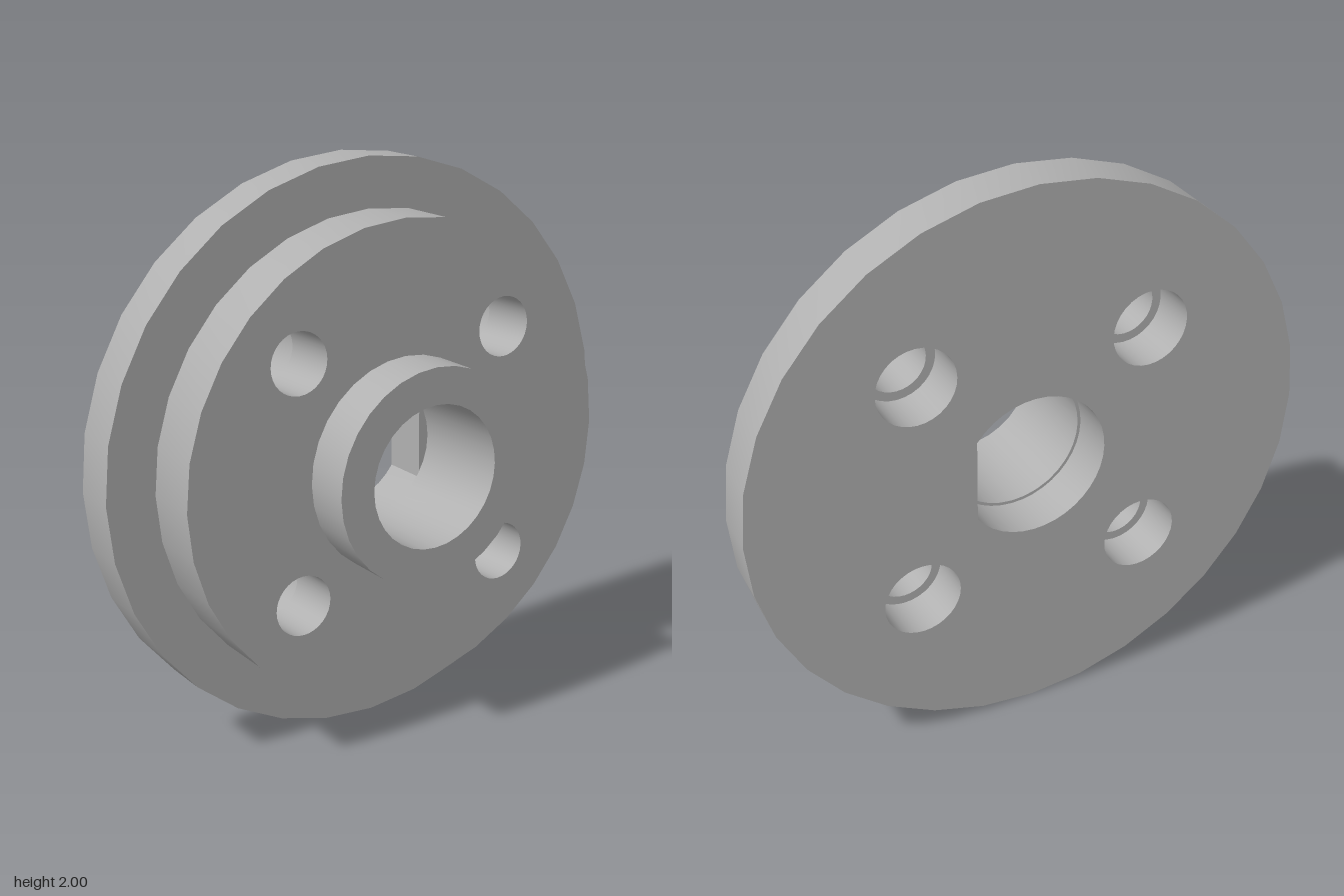
import * as THREE from 'three';
import { mergeGeometries, toCreasedNormals } from 'three/addons/utils/BufferGeometryUtils.js';

// z positions of the stepped faces
const BACK = -0.27, LEDGE = -0.105, STEP = 0.1, FRONT = 0.27;
// radii
const FLANGE = 1, BODY = 0.828, HUB = 0.373, BORE = 0.247, KEYED = 0.258, BOLT = 0.105, COUNTERBORE = 0.137;
const FLAT_X = 0.21, BOLT_POS = 0.412;

// points along an arc, 32 steps
function arc(r, from, to, cx = 0, cy = 0) {
  return Array.from({ length: 33 }, (_, i) => {
    const a = from + (to - from) * i / 32;
    return new THREE.Vector2(cx + r * Math.cos(a), cy + r * Math.sin(a));
  });
}
const circle = (r, cx = 0, cy = 0) => arc(r, 0, Math.PI * 2, cx, cy).slice(0, 32);

// flat face with holes, looking to the front (dir 1) or the back (dir -1)
function face(outline, holes, z, dir) {
  const shape = new THREE.Shape(outline);
  shape.holes = holes.map(h => new THREE.Path(h));
  const g = new THREE.ShapeGeometry(shape);
  if (dir < 0) g.index.array.reverse();
  return g.translate(0, 0, z);
}

// side wall along a closed counterclockwise loop, looking outward or into a hole
function wall(loop, z0, z1, outward) {
  const position = [], index = [], n = loop.length;
  for (const p of loop) position.push(p.x, p.y, z0, p.x, p.y, z1);
  for (let i = 0; i < n; i++) {
    const a = 2 * i, b = 2 * ((i + 1) % n);
    index.push(a, b, b + 1, a, b + 1, a + 1);
  }
  if (!outward) index.reverse();
  const g = new THREE.BufferGeometry();
  g.setAttribute('position', new THREE.Float32BufferAttribute(position, 3));
  g.setIndex(index);
  return g;
}

export function createModel() {
  const model = new THREE.Group();
  const steel = new THREE.MeshStandardMaterial({ color: 0xb0b0b0 });
  steel.name = 'greySteel';

  function add(name, pieces) {
    const bare = pieces.map(g => {
      g = g.toNonIndexed();
      g.deleteAttribute('uv');
      g.deleteAttribute('normal');
      return g;
    });
    const mesh = new THREE.Mesh(toCreasedNormals(mergeGeometries(bare), 0.6), steel);
    mesh.name = name;
    mesh.position.y = 1;
    model.add(mesh);
  }

  const bolts = [[1, 1], [-1, 1], [-1, -1], [1, -1]].map(([x, y]) => [x * BOLT_POS, y * BOLT_POS]);
  const boltLoops = r => bolts.map(([x, y]) => circle(r, x, y));

  // half angles of the flat on the keyed bore and on the round bore
  const a = Math.acos(FLAT_X / KEYED), b = Math.acos(FLAT_X / BORE);
  const keyed = arc(KEYED, a, Math.PI * 2 - a);

  add('flange', [
    wall(circle(FLANGE), BACK, LEDGE, true),
    face(circle(FLANGE), [...boltLoops(COUNTERBORE), keyed], BACK, -1),
    face(circle(FLANGE), [circle(BODY)], LEDGE, 1),
  ]);

  add('body', [
    wall(circle(BODY), LEDGE, STEP, true),
    face(circle(BODY), [...boltLoops(BOLT), circle(HUB)], STEP, 1),
  ]);

  add('hub', [
    wall(circle(HUB), STEP, FRONT, true),
    face(circle(HUB), [circle(BORE)], FRONT, 1),
  ]);

  // round bore in front, slightly wider bore with one flat behind
  add('bore', [
    wall(circle(BORE), LEDGE, FRONT, false),
    wall(keyed, BACK, LEDGE, false),
    face([...keyed, ...arc(BORE, Math.PI * 2 - b, b)], [], LEDGE, -1),
    face(arc(BORE, -b, b), [], LEDGE, 1),
  ]);

  // bolt holes, counterbored from the back
  bolts.forEach(([x, y]) => add('boltHole', [
    wall(circle(BOLT, x, y), LEDGE, STEP, false),
    wall(circle(COUNTERBORE, x, y), BACK, LEDGE, false),
    face(circle(COUNTERBORE, x, y), [circle(BOLT, x, y)], LEDGE, -1),
  ]));

  return model;
}
